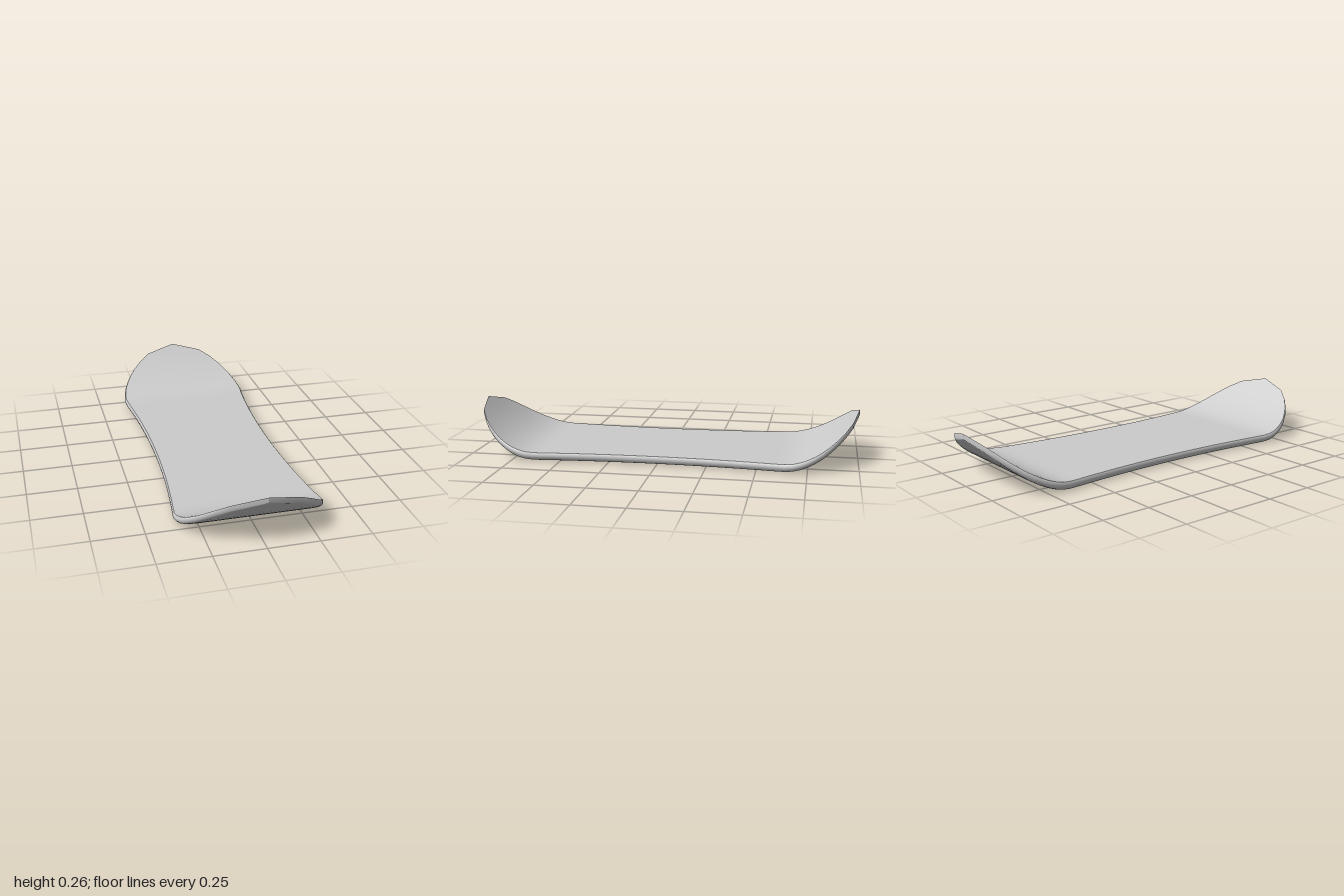
import * as THREE from 'three';

const STRAIGHT = 0.68; // where the sidecut meets the rounded ends

// Half width of the board at z: shallow sidecut, then elliptical ends
function halfWidth(z) {
  const a = Math.abs(z);
  if (a <= STRAIGHT) return 0.315 + 0.043 * (a / STRAIGHT) ** 2;
  const t = (a - STRAIGHT) / (1 - STRAIGHT);
  return 0.358 * Math.sqrt(Math.max(0, 1 - t * t));
}

// Upward curve of the ends, as a fraction from 0 to 1
function kick(z) {
  return Math.max(0, (Math.abs(z) - 0.62) / 0.38) ** 2;
}

// Stations along the length; the coarse steps give the faceted tips
function stations() {
  const list = [];
  for (let i = 9; i > 0; i--) list.push(-STRAIGHT - (0.32 * i) / 9);
  for (let i = 0; i <= 34; i++) list.push(-STRAIGHT + (1.36 * i) / 34);
  for (let i = 1; i <= 9; i++) list.push(STRAIGHT + (0.32 * i) / 9);
  return list;
}

// Sweep a cross-section of [width fraction, height fraction] along the board
function sweep(section) {
  const rows = stations();
  const n = section.length;
  const positions = [];
  const index = [];
  rows.forEach((z, i) => {
    const w = halfWidth(z);
    const k = kick(z);
    const bottom = 0.002 + 0.23 * k;
    const thickness = 0.043 - 0.016 * k;
    section.forEach(([fx, fy], j) => {
      positions.push(w * fx, bottom + thickness * fy, z);
      if (i < rows.length - 1 && j < n - 1) {
        const a = i * n + j;
        index.push(a, a + n, a + 1, a + 1, a + n, a + n + 1);
      }
    });
  });
  const geometry = new THREE.BufferGeometry();
  geometry.setAttribute('position', new THREE.Float32BufferAttribute(positions, 3));
  geometry.setIndex(index);
  geometry.computeVertexNormals();
  return geometry;
}

export function createModel() {
  const group = new THREE.Group();
  group.name = 'board';
  const grey = new THREE.MeshStandardMaterial({ color: 0xcccccc });
  grey.name = 'light grey';

  // Flat upper face
  const deck = new THREE.Mesh(sweep([-0.98, -0.5, 0, 0.5, 0.98].map((x) => [x, 1])), grey);
  deck.name = 'deck';

  // Rounded rim and underside in one smooth skin
  const half = [[0.98, 1], [0.995, 0.85], [1, 0.6], [0.992, 0.35], [0.97, 0.13], [0.93, 0.03], [0.86, 0], [0.4, 0]];
  const mirrored = half.map(([x, y]) => [-x, y]).reverse();
  const base = new THREE.Mesh(sweep([...half, ...mirrored]), grey);
  base.name = 'rimAndBase';

  group.add(deck, base);
  return group;
}
